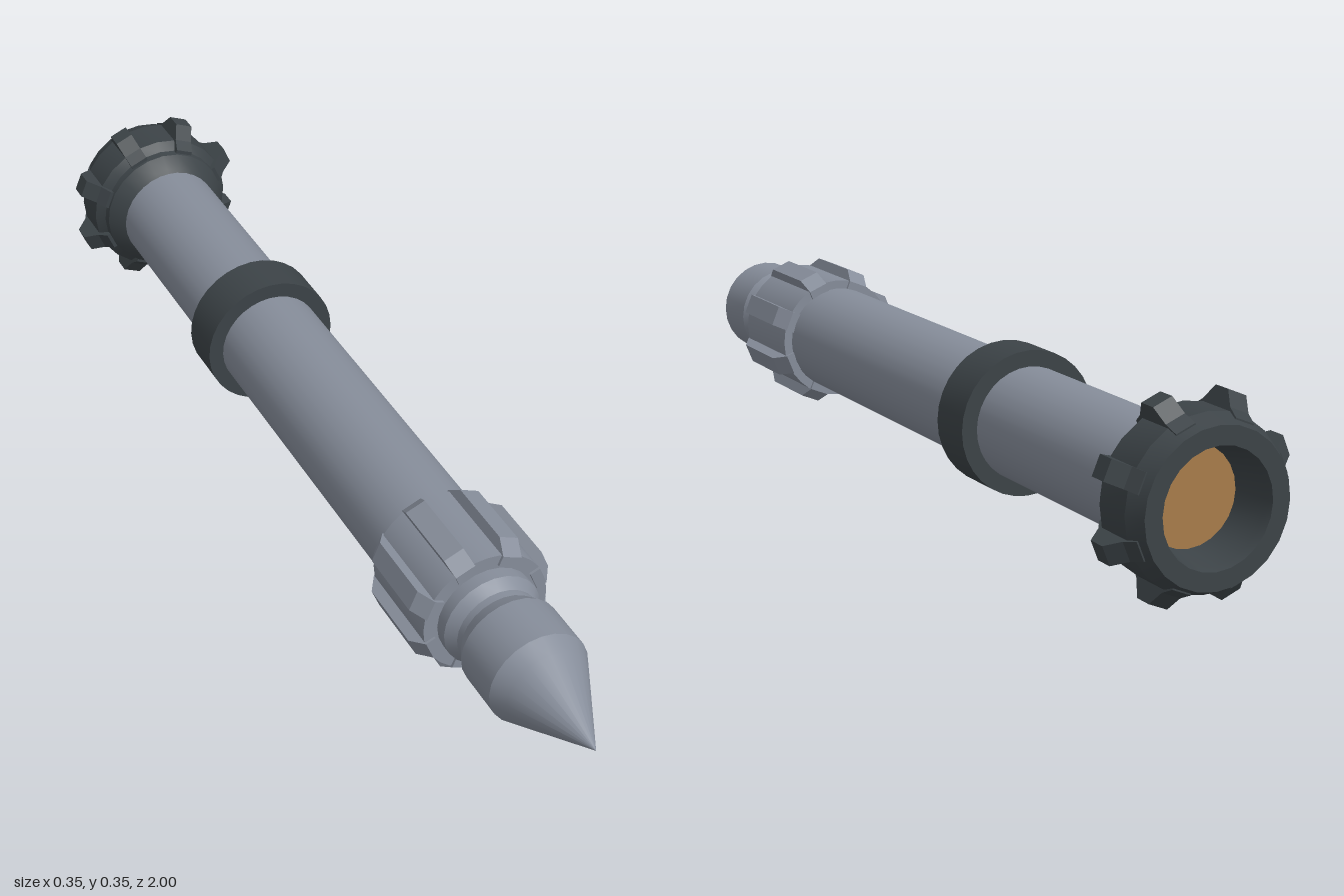
import * as THREE from 'three';
import { toCreasedNormals } from 'three/addons/utils/BufferGeometryUtils.js';

const AXIS_Y = 0.177;

export function createModel() {
  const model = new THREE.Group();
  const paint = (name, color) => {
    const m = new THREE.MeshStandardMaterial({ color });
    m.name = name;
    return m;
  };
  const steel = paint('steel grey', 0x868d9a);
  const dark = paint('dark grey', 0x3c4347);
  const copper = paint('copper', 0xa87d4a);

  const add = (name, geometry, material, parent = model) => {
    const mesh = new THREE.Mesh(geometry, material);
    mesh.name = name;
    parent.add(mesh);
    return mesh;
  };

  // Turned part along z; profile is [radius, z] pairs with z rising on outer faces
  const turned = (name, profile, material, sides = 32) => {
    const g = new THREE.LatheGeometry(profile.map(([r, z]) => new THREE.Vector2(r, z)), sides);
    g.rotateX(Math.PI / 2);
    const mesh = add(name, toCreasedNormals(g, 0.4), material);
    mesh.position.y = AXIS_Y;
    return mesh;
  };

  // Eight lugs around the axis; outline is [z, radius] pairs
  const lugs = (name, outline, width, material) => {
    const group = new THREE.Group();
    group.name = name + 's';
    group.position.y = AXIS_Y;
    model.add(group);
    const shape = new THREE.Shape(outline.map(([z, r]) => new THREE.Vector2(z, r)));
    const g = new THREE.ExtrudeGeometry(shape, { depth: width, bevelEnabled: false });
    g.translate(0, 0, -width / 2);
    g.rotateY(-Math.PI / 2);
    for (let i = 0; i < 8; i++) {
      add(name, g, material, group).rotation.z = (i + 0.5) * Math.PI / 4;
    }
  };

  // Main tube
  turned('body', [[0, -0.9], [0.105, -0.9], [0.105, 0.5]], steel);

  // Nose with grooved neck and pointed tip
  turned('nose', [
    [0.095, 0.55], [0.095, 0.645], [0.08, 0.665], [0.08, 0.68],
    [0.096, 0.71], [0.096, 0.81], [0.08, 0.842], [0, 1],
  ], steel, 24);

  // Ribbed grip
  turned('grip', [[0.1, 0.425], [0.122, 0.425], [0.122, 0.62], [0.09, 0.62]], steel);
  lugs('gripRib', [[0.42, 0.1], [0.625, 0.1], [0.625, 0.12], [0.595, 0.141], [0.45, 0.141], [0.42, 0.12]], 0.04, steel);

  // Middle band
  turned('band', [[0.1, -0.39], [0.135, -0.39], [0.135, -0.295], [0.1, -0.295]], dark);

  // Rear collar with recessed bore
  turned('rearCollar', [
    [0.088, -0.915], [0.1, -0.985], [0.104, -1], [0.137, -1], [0.152, -0.965],
    [0.152, -0.89], [0.135, -0.875], [0.133, -0.86], [0.113, -0.835], [0.104, -0.828],
  ], dark, 24);
  lugs('collarLug', [[-0.985, 0.12], [-0.865, 0.12], [-0.865, 0.14], [-0.885, 0.155], [-0.905, 0.183],
    [-0.94, 0.183], [-0.962, 0.157], [-0.985, 0.145]], 0.038, dark);

  // Disc at the bottom of the bore
  const disc = add('boreDisc', new THREE.CircleGeometry(0.092, 32), copper);
  disc.rotation.y = Math.PI;
  disc.position.set(0, AXIS_Y, -0.917);

  return model;
}
